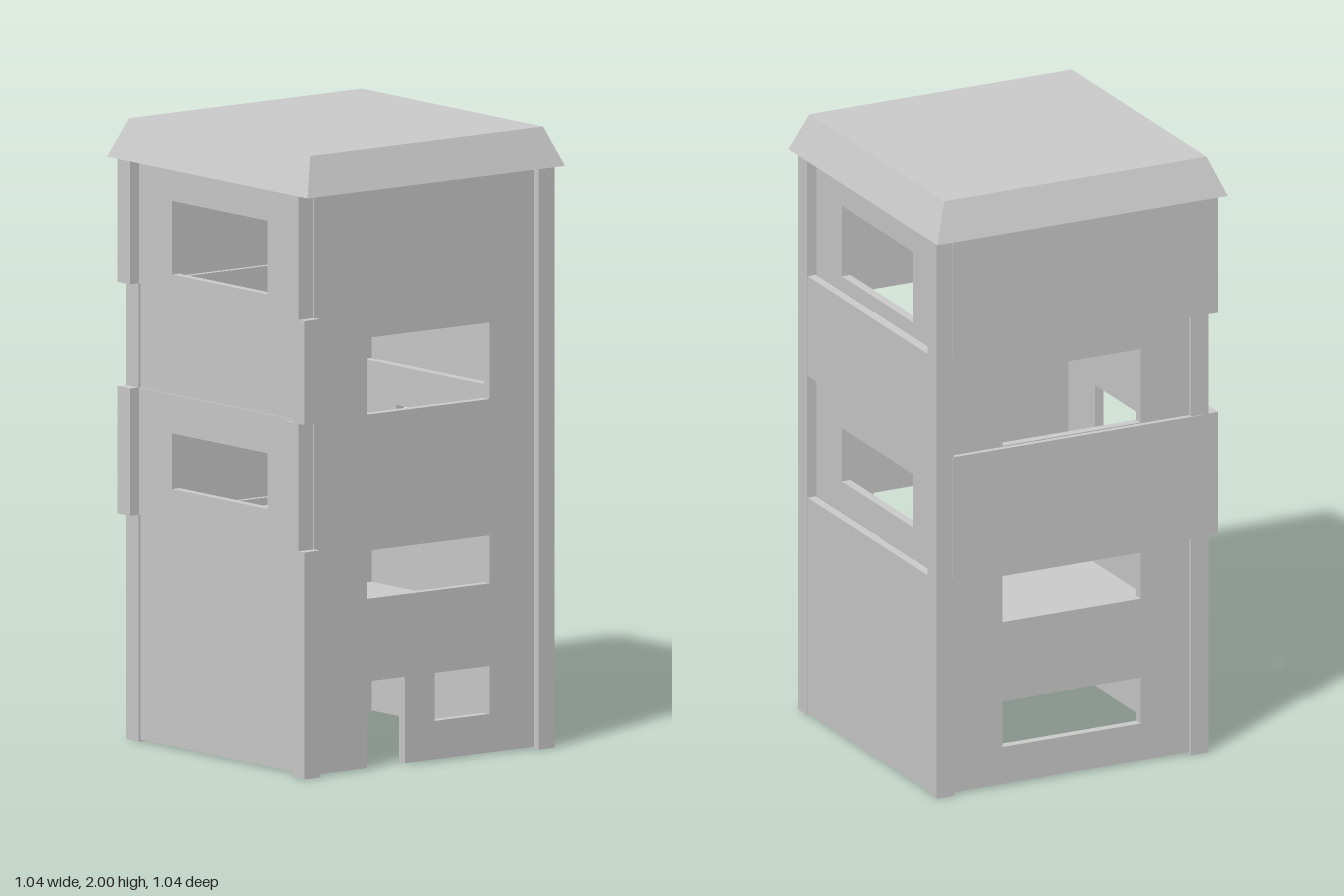
import * as THREE from 'three';

const mat = new THREE.MeshStandardMaterial({ color: 0xcccccc, flatShading: true, side: THREE.DoubleSide });

function add(group, name, geometry, x, y, z) {
  const mesh = new THREE.Mesh(geometry, mat);
  mesh.name = name;
  mesh.position.set(x, y, z);
  group.add(mesh);
  return mesh;
}

// Upright panel: u runs along the wall, y is up; holes are [u0, u1, y0, y1].
// A door [u0, u1, top] is cut up from the bottom edge.
function panel(half, y0, y1, depth, holes, door) {
  const s = new THREE.Shape();
  s.moveTo(-half, y0);
  if (door) {
    s.lineTo(door[0], y0);
    s.lineTo(door[0], door[2]);
    s.lineTo(door[1], door[2]);
    s.lineTo(door[1], y0);
  }
  s.lineTo(half, y0);
  s.lineTo(half, y1);
  s.lineTo(-half, y1);
  s.closePath();
  for (const [a, b, c, d] of holes) {
    const h = new THREE.Path();
    h.moveTo(a, c);
    h.lineTo(a, d);
    h.lineTo(b, d);
    h.lineTo(b, c);
    h.closePath();
    s.holes.push(h);
  }
  return new THREE.ExtrudeGeometry(s, { depth, bevelEnabled: false });
}

export function createModel() {
  const model = new THREE.Group();
  model.name = 'tower';
  const T = 0.03, POST = 0.063;

  // Each storey has windows in one pair of walls; turned storeys have them front and back
  const storeys = [
    { y0: 0, y1: 0.39, turned: false, win: [-0.26, 0.232, 0.13, 0.284], door: [0.08, 0.232, 0.284] },
    { y0: 0.39, y1: 0.73, turned: false, win: [-0.26, 0.232, 0.55, 0.705] },
    { y0: 0.73, y1: 1.14, turned: true, win: [-0.25, 0.242, 0.835, 1.014] },
    { y0: 1.14, y1: 1.475, turned: false, win: [-0.26, 0.232, 1.143, 1.39] },
    { y0: 1.475, y1: 1.875, turned: true, win: [-0.25, 0.242, 1.525, 1.762] },
  ];

  storeys.forEach(({ y0, y1, turned, win, door }, i) => {
    const storey = new THREE.Group();
    storey.name = 'storey' + (i + 1);
    model.add(storey);
    const base = Math.max(y0, 0.006);
    const frontHoles = turned ? [win] : [];
    const sideHoles = turned ? [] : [win];
    const doorHoles = door ? [[-0.26, -0.04, win[2], win[3]]] : sideHoles;

    // Outer faces: the back and far side walls step in where they have a window
    const front = turned ? 0.465 : 0.46;
    const back = turned ? -0.468 : -0.5;
    const right = 0.458;
    const left = turned ? -0.486 : -0.468;

    add(storey, 'frontWall', panel(0.43, base, y1, T, frontHoles), 0, 0, front - T);
    add(storey, 'backWall', panel(0.425, base, y1, T, frontHoles), 0, 0, back);
    add(storey, 'doorSideWall', panel(0.445, base, y1, T, doorHoles, door), right, 0, 0).rotation.y = -Math.PI / 2;
    add(storey, 'farSideWall', panel(0.445, base, y1, T, sideHoles), left + T, 0, 0).rotation.y = -Math.PI / 2;

    // Corner posts, one of them set inwards on each storey
    for (const sx of [-1, 1]) {
      for (const sz of [-1, 1]) {
        const x = sx * 0.451 - (turned && sx > 0 && sz > 0 ? 0.03 : 0);
        const z = sz * 0.471 - (!turned && sx < 0 && sz > 0 ? 0.034 : 0);
        add(storey, 'cornerPost', new THREE.BoxGeometry(POST, y1 - y0, POST), x, (y0 + y1) / 2, z);
      }
    }
  });

  // Floor above the ground storey
  add(model, 'floor', new THREE.BoxGeometry(0.89, 0.03, 0.91), 0, 0.405, -0.015);

  // Flat-topped roof with sloping eaves
  const roof = new THREE.CylinderGeometry(0.468 * Math.SQRT2, 0.518 * Math.SQRT2, 0.125, 4);
  roof.rotateY(Math.PI / 4);
  add(model, 'roof', roof, 0, 1.9375, 0);

  return model;
}
